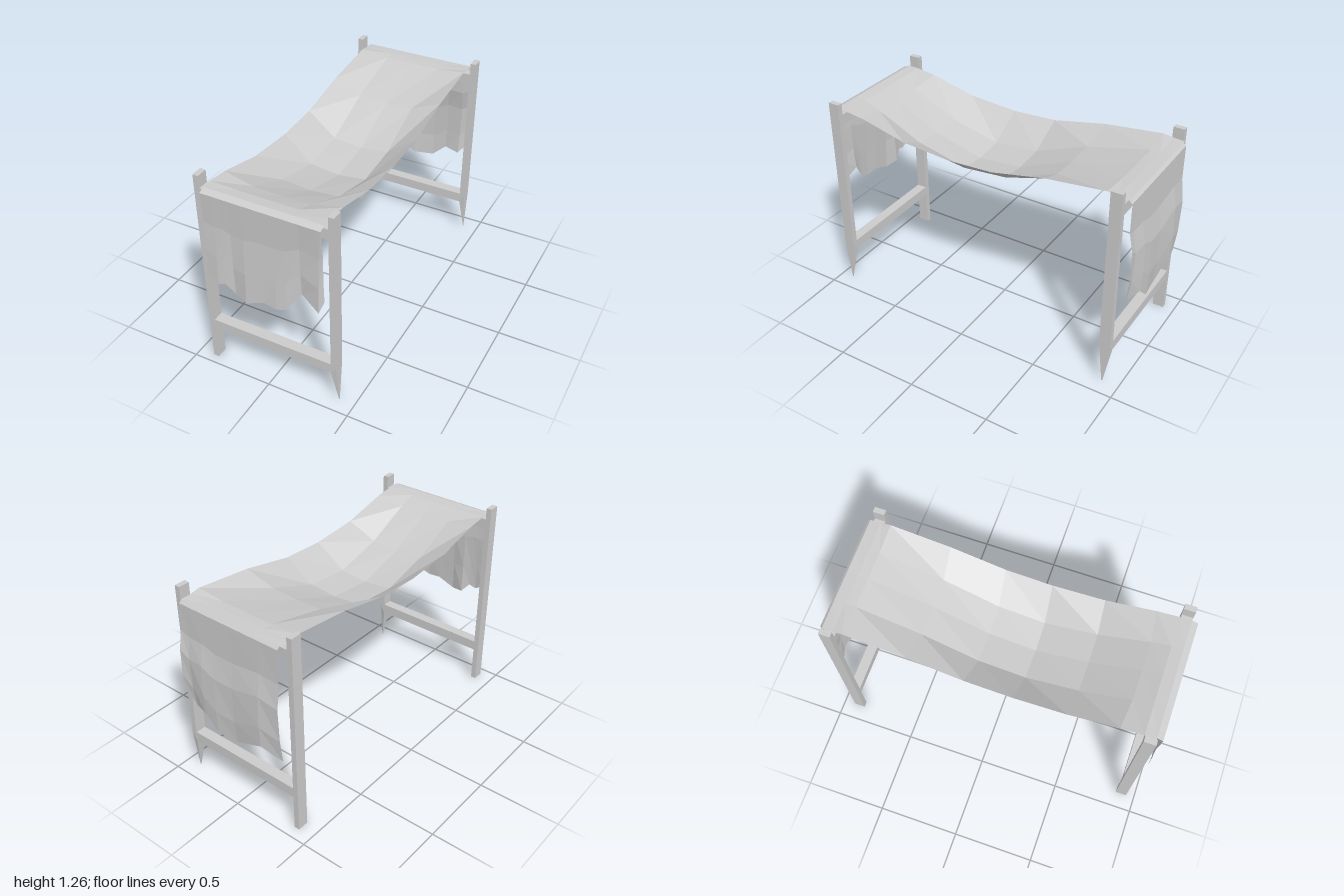
import * as THREE from 'three';

const frameMat = new THREE.MeshStandardMaterial({ color: 0xcccccc, flatShading: true });
const clothMat = new THREE.MeshStandardMaterial({ color: 0xcccccc, flatShading: true, side: THREE.DoubleSide });

// Surface through equally long rows of [x, y, z] points
function loft(rows, name) {
  const n = rows[0].length, index = [];
  for (let r = 0; r < rows.length - 1; r++) {
    for (let c = 0; c < n - 1; c++) {
      const a = r * n + c, b = a + n;
      index.push(a, b, a + 1, a + 1, b, b + 1);
    }
  }
  const g = new THREE.BufferGeometry();
  g.setAttribute('position', new THREE.Float32BufferAttribute(rows.flat(2), 3));
  g.setIndex(index);
  g.computeVertexNormals();
  const mesh = new THREE.Mesh(g, clothMat);
  mesh.name = name;
  return mesh;
}

// Square post; the foot of a left-hand post is whittled to a spike
function post(side) {
  const g = new THREE.BoxGeometry(0.033, 1.26, 0.068, 1, 2, 1);
  const p = g.attributes.position;
  for (let i = 0; i < p.count; i++) {
    const y = p.getY(i);
    if (Math.abs(y) < 0.01) p.setY(i, p.getX(i) < 0 ? -0.405 : -0.36);
    else if (y < 0 && side > 0) p.setXYZ(i, 0.0165, -0.625, p.getZ(i) * 0.1);
  }
  g.computeVertexNormals();
  const mesh = new THREE.Mesh(g, frameMat);
  mesh.name = side > 0 ? 'leftPost' : 'rightPost';
  mesh.position.set(side * 0.391, 0.63, 0);
  return mesh;
}

// Two posts joined by an upper and a lower rail
function endFrame(name, z) {
  const frame = new THREE.Group();
  frame.name = name;
  frame.position.z = z;
  frame.add(post(-1), post(1));
  for (const [label, y] of [['lowerRail', 0.253], ['upperRail', 1.153]]) {
    const rail = new THREE.Mesh(new THREE.BoxGeometry(0.752, 0.064, 0.064), frameMat);
    rail.name = label;
    rail.position.y = y;
    frame.add(rail);
  }
  return frame;
}

// Hanging end: hem points [x, y], and a depth offset for every row
function hanging(name, hem, sign, profile, ripple) {
  const half = 0.352;
  const rows = profile.map(([t, z], r) => hem.map(([x, y], c) => {
    const straight = -half + 2 * half * (x + half) / (2 * half);
    const px = r === 0 ? Math.max(-half, Math.min(half, straight)) : x;
    const wave = ripple[c] * t * t;
    return [px, 1.185 + (y - 1.185) * t, sign * (z + wave)];
  }));
  // Strip lying over the rail
  const lip = rows[0].map(([x]) => [x, 1.2, sign * 0.945]);
  return loft([lip, ...rows], name);
}

export function createModel() {
  const model = new THREE.Group();
  model.add(endFrame('frontFrame', 0.915), endFrame('backFrame', -0.898));

  // Sagging cloth: z, edge height, centre height
  const sag = [
    [0.945, 1.2, 1.2], [0.88, 1.198, 1.192], [0.76, 1.182, 1.15], [0.47, 1.113, 1.01],
    [0.16, 1.09, 0.93], [-0.12, 1.104, 0.957], [-0.45, 1.172, 1.095],
    [-0.82, 1.214, 1.195], [-0.88, 1.205, 1.2], [-0.945, 1.2, 1.2],
  ];
  const columns = [[-0.355, 0], [-0.175, 0.88], [0.005, 1], [0.175, 0.88], [0.35, 0]];
  model.add(loft(sag.map(([z, edge, mid]) => columns.map(([x, k]) => [
    x, edge + (mid - edge) * k, z + (Math.abs(z) < 0.8 ? 0.02 * (k - 0.5) : 0),
  ])).reverse(), 'saggingCloth'));

  // Ragged ends hanging outside both frames
  model.add(hanging('frontHangingCloth', [
    [-0.35, 0.66], [-0.285, 0.615], [-0.24, 0.63], [-0.19, 0.57], [-0.11, 0.555], [0, 0.6],
    [0.08, 0.59], [0.14, 0.61], [0.22, 0.725], [0.33, 0.66], [0.355, 0.73],
  ], 1, [[0, 0.982], [0.35, 0.972], [0.7, 0.978], [1, 0.98]],
  [0, 0.01, 0.005, -0.01, 0.015, 0.01, 0.015, 0.01, -0.02, 0.005, -0.015]));
  model.add(hanging('backHangingCloth', [
    [-0.34, 0.475], [-0.21, 0.53], [-0.02, 0.45], [0.11, 0.46], [0.2, 0.545], [0.3, 0.54], [0.36, 0.62],
  ], -1, [[0, 0.962], [0.3, 0.965], [0.5, 0.988], [0.8, 0.99], [1, 0.98]],
  [-0.02, 0.01, -0.005, 0.01, 0.01, -0.02, 0]));
  return model;
}
